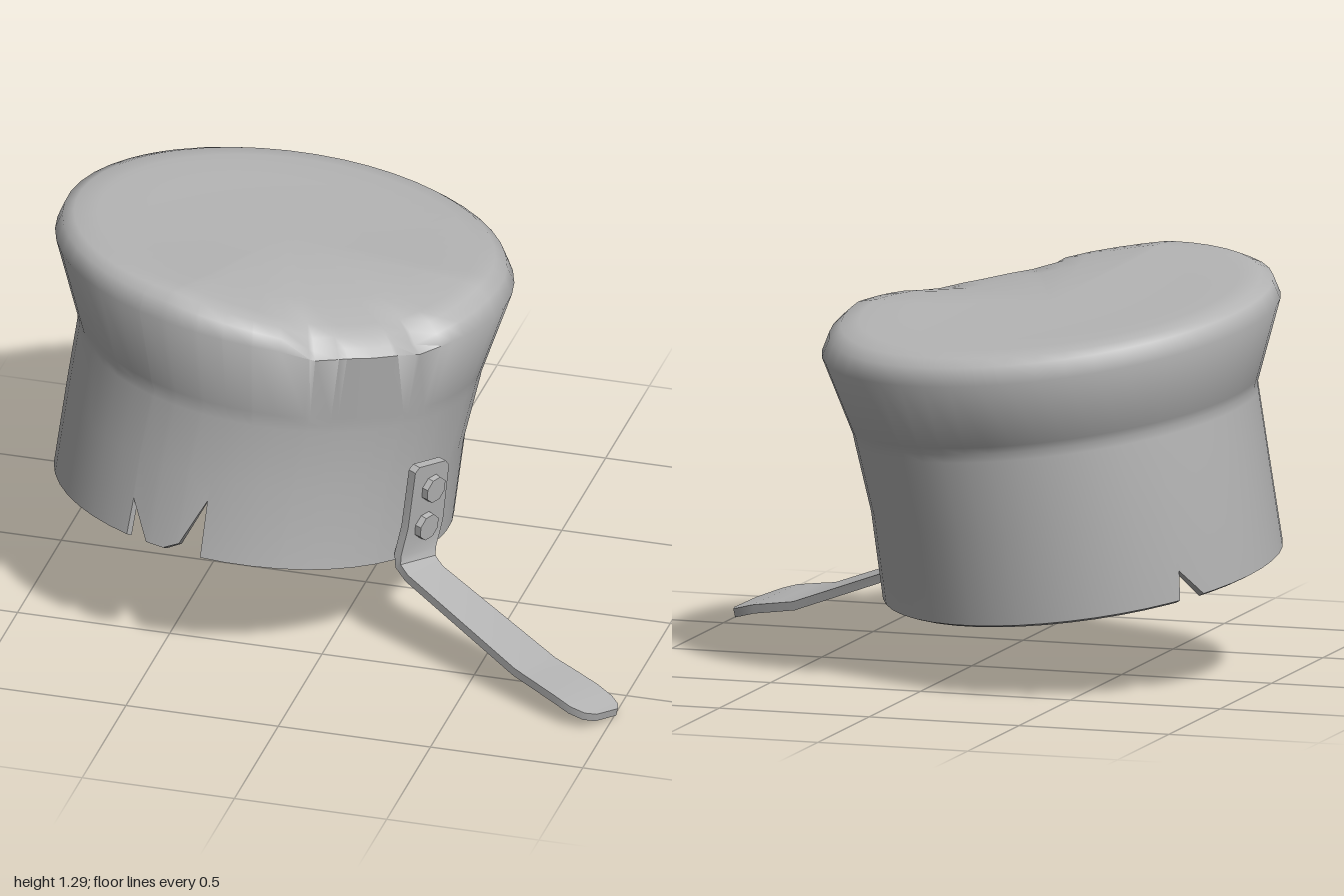
import * as THREE from 'three';
import { toCreasedNormals } from 'three/addons/utils/BufferGeometryUtils.js';

const metal = new THREE.MeshStandardMaterial({ color: 0xb6b6b6 });
metal.name = 'dull metal';

// piecewise linear lookup in [position, value] knots, zero outside
function lookup(knots, t) {
  for (let i = 0; i + 1 < knots.length; i++) {
    const [a, va] = knots[i], [b, vb] = knots[i + 1];
    if (t >= a && t <= b) return va + (vb - va) * (t - a) / (b - a);
  }
  return 0;
}

// skin between columns of points; closed joins the last column to the first
function skin(columns, closed, crease) {
  const n = columns.length, m = columns[0].length, index = [];
  const same = (p, q) => p.distanceToSquared(q) < 1e-10;
  const at = (id) => columns[Math.floor(id / m)][id % m];
  const tri = (a, b, c) => {
    if (!same(at(a), at(b)) && !same(at(b), at(c)) && !same(at(a), at(c))) index.push(a, b, c);
  };
  for (let i = 0; i < (closed ? n : n - 1); i++) {
    for (let k = 0; k + 1 < m; k++) {
      const a = i * m + k, c = ((i + 1) % n) * m + k;
      tri(a, c, a + 1);
      tri(c, c + 1, a + 1);
    }
  }
  const geo = new THREE.BufferGeometry().setFromPoints(columns.flat());
  geo.setIndex(index);
  return toCreasedNormals(geo, crease);
}

// battered pan: tilted rings from the base (on top) down to the torn mouth
// centre x, centre z, radius, height, slope in x, slope in z, sag, dent
const RINGS = [
  [-0.27, -0.03, 0, 1.19, -0.085, 0.12, 0, 0],
  [-0.27, -0.03, 0.25, 1.191, -0.085, 0.12, 0.008, 0],
  [-0.27, -0.03, 0.45, 1.193, -0.085, 0.12, 0.03, 0],
  [-0.27, -0.03, 0.6, 1.2, -0.09, 0.12, 0.058, 0],
  [-0.275, -0.03, 0.665, 1.195, -0.09, 0.12, 0.06, 0.025],
  [-0.275, -0.03, 0.702, 1.172, -0.1, 0.115, 0.055, 0.035],
  [-0.275, -0.03, 0.725, 1.115, -0.1, 0.11, 0.02, 0.03],
  [-0.275, 0.006, 0.648, 0.875, -0.109, 0.083, 0, 0],
  [-0.275, 0.01, 0.64, 0.85, -0.11, 0.08, 0, 0],
  [-0.279, 0.011, 0.639, 0.825, -0.109, 0.082, 0, 0],
  [-0.32, 0.025, 0.63, 0.6, -0.1, 0.1, 0, 0],
  [-0.35, 0.06, 0.632, 0.32, -0.1, 0.12, 0, 0],
];
const SAG = [[5, 0], [20, 0.4], [36, 0.9], [51, 1], [66, 0.95], [82, 0.5], [105, 0]];
const DENT = [[27, 0], [36, 1], [44, 0.3], [58, 0.3], [66, 1], [75, 0]];
const TEARS = [
  [89.6, 0], [90, 0.2], [96.4, 0.03], [101, 0], [106.6, 0], [113, 0.13], [113.4, 0],
  [214, 0], [221, 0.09], [222, 0],
];

function ringPoint(ring, deg, shrink, sink) {
  const [cx, cz, r, y, sx, sz, sag, dent] = ring;
  const t = THREE.MathUtils.degToRad(deg), d = dent * lookup(DENT, deg);
  const radius = Math.max(0, r - d - shrink);
  const dx = radius * Math.cos(t), dz = radius * Math.sin(t);
  const drop = sag * lookup(SAG, deg) + d + sink;
  return new THREE.Vector3(cx + dx, y + sx * dx + sz * dz - drop, cz + dz);
}

function panGeometry() {
  const angles = new Set([...SAG, ...DENT, ...TEARS].map((k) => k[0]));
  for (let a = 0; a < 360; a += 7.5) angles.add(a);
  const last = RINGS.length - 1;
  const columns = [...angles].sort((a, b) => a - b).map((deg) => {
    // the inner wall is narrower, lower under the base, and bevelled at the mouth
    const wall = (thick) => {
      const points = RINGS.map((ring, k) =>
        ringPoint(ring, deg, thick, k < 6 ? thick : k === last ? thick * 0.45 : 0));
      // tears lift the mouth edge along the wall
      points[last].lerp(points[last - 1], lookup(TEARS, deg) / 0.28);
      return points;
    };
    return [...wall(0), ...wall(0.024).reverse()];
  });
  return skin(columns, true, 0.95);
}

// handle frame: distance from the pan axis, height, offset across the strap
const TURN = THREE.MathUtils.degToRad(25.5);
const OUT = new THREE.Vector3(Math.cos(TURN), 0, Math.sin(TURN));
const ACROSS = new THREE.Vector3(-Math.sin(TURN), 0.2, Math.cos(TURN));
const place = (s, y, w) => new THREE.Vector3(-0.34, y, 0.05)
  .addScaledVector(OUT, s).addScaledVector(ACROSS, w);

// bent strap: distance, height, half width, sideways shift
const STRAP = [
  [0.688, 0.643, 0.062, -0.04], [0.686, 0.625, 0.08, -0.04], [0.662, 0.42, 0.083, -0.035],
  [0.65, 0.32, 0.083, -0.015], [0.66, 0.285, 0.083, -0.005], [0.7, 0.257, 0.083, 0],
  [1.17, 0.092, 0.097, 0.005], [1.25, 0.078, 0.1, 0.007], [1.35, 0.06, 0.102, 0.01],
  [1.41, 0.043, 0.099, 0.01], [1.45, 0.03, 0.08, 0.006], [1.47, 0.025, 0.05, 0],
];

function strapGeometry() {
  const half = 0.014;
  const sections = STRAP.map(([s, y, w, shift], i) => {
    const a = STRAP[Math.max(0, i - 1)], b = STRAP[Math.min(STRAP.length - 1, i + 1)];
    const len = Math.hypot(b[0] - a[0], b[1] - a[1]);
    const ns = -(b[1] - a[1]) / len * half, ny = (b[0] - a[0]) / len * half;
    const corner = (side, face) => place(s + face * ns, y + face * ny, shift + side * w);
    return [corner(-1, 1), corner(1, 1), corner(1, -1), corner(-1, -1), corner(-1, 1)];
  });
  // collapsed sections close both ends
  const cap = (sec) => {
    const c = sec.slice(0, 4).reduce((v, p) => v.add(p), new THREE.Vector3()).divideScalar(4);
    return sec.map(() => c.clone());
  };
  const all = [cap(sections[0]), ...sections, cap(sections[sections.length - 1])];
  return skin(all.reverse(), false, 0.6);
}

export function createModel() {
  const group = new THREE.Group();
  group.name = 'batteredPan';
  const add = (name, geo) => {
    const mesh = new THREE.Mesh(geo, metal);
    mesh.name = name;
    group.add(mesh);
    return mesh;
  };

  add('panBody', panGeometry());
  add('handle', strapGeometry());

  // two rivets through the strap
  const rivetGeo = toCreasedNormals(new THREE.CylinderGeometry(0.045, 0.048, 0.04, 8), 0.5);
  for (const [s, y, w] of [[0.692, 0.553, -0.046], [0.677, 0.417, -0.03]]) {
    const rivet = add('rivet', rivetGeo);
    rivet.position.copy(place(s, y, w));
    rivet.quaternion.setFromUnitVectors(new THREE.Vector3(0, 1, 0),
      OUT.clone().setY(-0.1).normalize());
  }
  return group;
}
